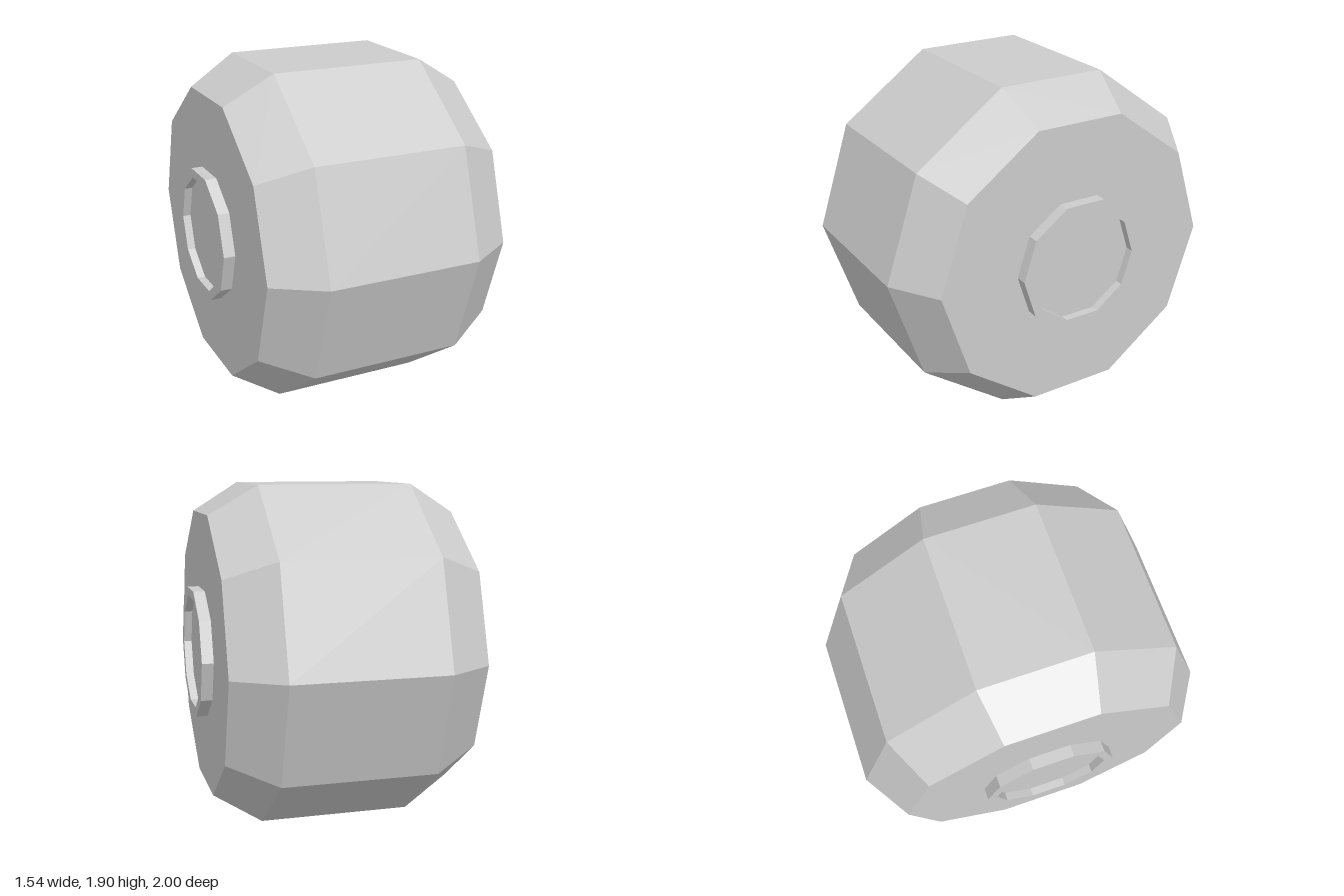
import * as THREE from 'three';

const SIDES = 10;
const CENTRE_Y = Math.cos(Math.PI / SIDES); // the wheel rests on a flat side

const material = new THREE.MeshStandardMaterial({ color: 0xcccccc, flatShading: true });

// Turns a [radius, offset along axle] profile into a faceted part
function turned(name, profile) {
  const points = profile.map(([r, h]) => new THREE.Vector2(r, h));
  const geometry = new THREE.LatheGeometry(points, SIDES).toNonIndexed();
  geometry.computeVertexNormals();
  const mesh = new THREE.Mesh(geometry, material);
  mesh.name = name;
  return mesh;
}

export function createModel() {
  const wheel = new THREE.Group();
  wheel.name = 'wheel';

  // Wide tyre with bevelled shoulders and flat sidewalls
  const tyre = turned('tyre', [
    [0, -0.705], [0.83, -0.705], [1, -0.435],
    [1, 0.435], [0.83, 0.705], [0, 0.705],
  ]);
  tyre.rotation.z = -Math.PI / 2;
  tyre.position.y = CENTRE_Y;
  wheel.add(tyre);

  // Raised hub rim with a recessed cap on each side
  for (const side of [1, -1]) {
    const hub = turned(side > 0 ? 'leftHub' : 'rightHub', [
      [0.378, 0.7], [0.378, 0.77], [0.325, 0.77], [0.325, 0.725], [0, 0.725],
    ]);
    hub.rotation.z = -side * Math.PI / 2;
    hub.position.y = CENTRE_Y;
    wheel.add(hub);
  }

  return wheel;
}
